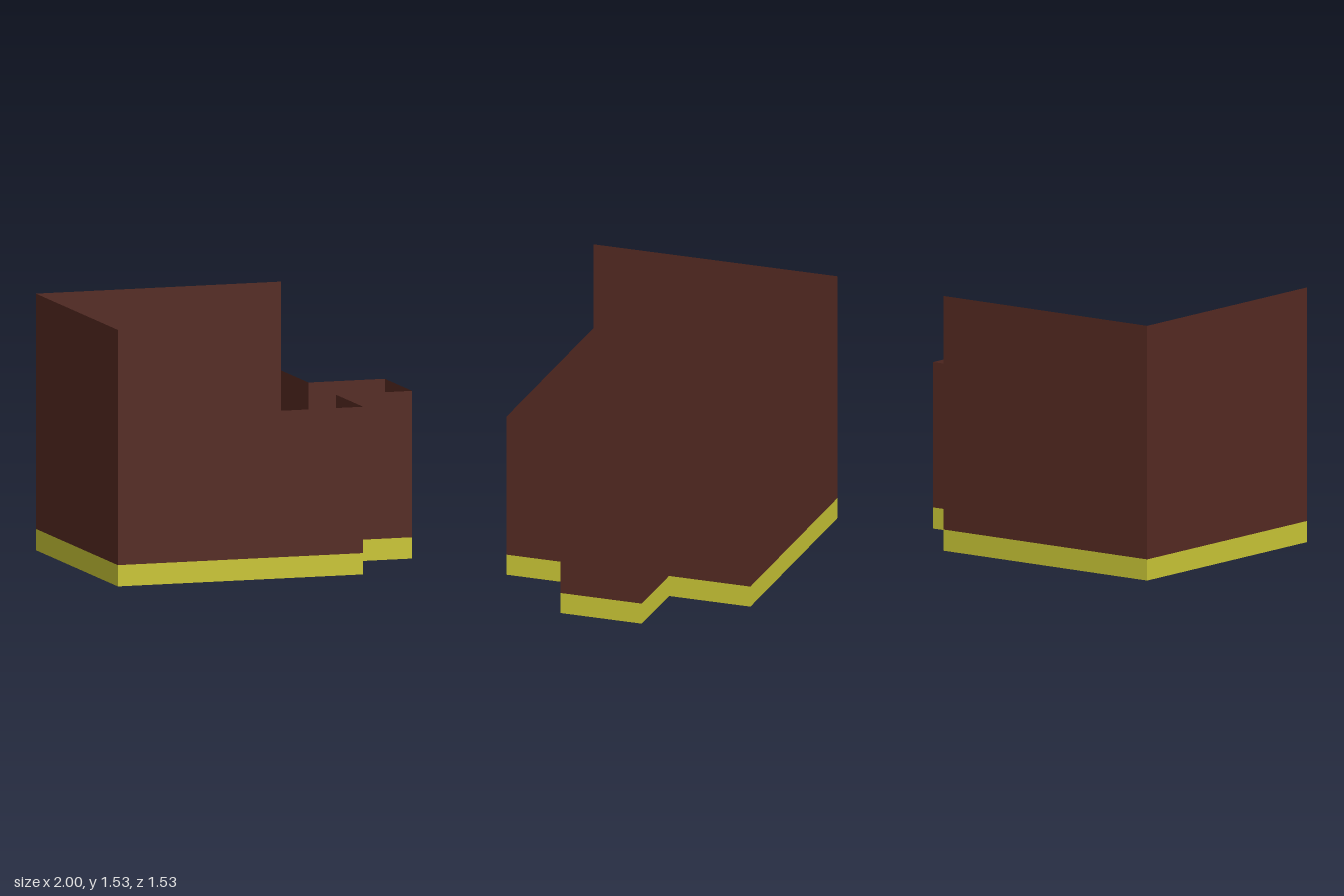
import * as THREE from 'three';

const paint = (color) => new THREE.MeshStandardMaterial({ color, side: THREE.DoubleSide, flatShading: true });

export function createModel() {
  const model = new THREE.Group();
  const brown = paint(0x552a22);
  const yellow = paint(0xcac636);
  const green = paint(0x246430);

  const TRIM = 0.127, LOW = 1.0, TALL = 1.53;

  // Floor outline (x, z), counter-clockwise from above; each corner starts a wall
  const outline = [
    { x: -1, z: 0.765, height: LOW, name: 'frontWall' },
    { x: 0.525, z: 0.765, height: LOW, name: 'sideWallFront' },
    { x: 0.525, z: 0.255, height: LOW, name: 'alcoveWallFront' },
    { x: 1, z: 0.255, height: LOW, name: 'alcoveEndWall' },
    { x: 1, z: -0.255, height: LOW, name: 'alcoveWallBack' },
    { x: 0.525, z: -0.255, height: LOW, name: 'sideWallBack' },
    { x: 0.525, z: -0.765, height: TALL, name: 'backWall' },
    { x: -1, z: -0.765, height: TALL, name: 'tallSideWall' },
  ];

  // Thin upright panel from corner a to corner b, facing outward
  const panel = (a, b, y0, y1, material, name) => {
    const dx = b.x - a.x, dz = b.z - a.z;
    const mesh = new THREE.Mesh(new THREE.PlaneGeometry(Math.hypot(dx, dz), y1 - y0), material);
    mesh.position.set((a.x + b.x) / 2, (y0 + y1) / 2, (a.z + b.z) / 2);
    mesh.rotation.y = Math.atan2(-dz, dx);
    mesh.name = name;
    return mesh;
  };

  // Walls, each with a skirting strip along the bottom
  outline.forEach((a, i) => {
    const b = outline[(i + 1) % outline.length];
    const wall = new THREE.Group();
    wall.name = a.name;
    wall.add(panel(a, b, 0, TRIM, yellow, 'skirting'));
    wall.add(panel(a, b, TRIM, a.height, brown, 'wallPanel'));
    model.add(wall);
  });

  // Floor
  const shape = new THREE.Shape(outline.map((p) => new THREE.Vector2(p.x, -p.z)));
  const floor = new THREE.Mesh(new THREE.ShapeGeometry(shape).rotateX(-Math.PI / 2), green);
  floor.name = 'floor';
  model.add(floor);

  return model;
}
